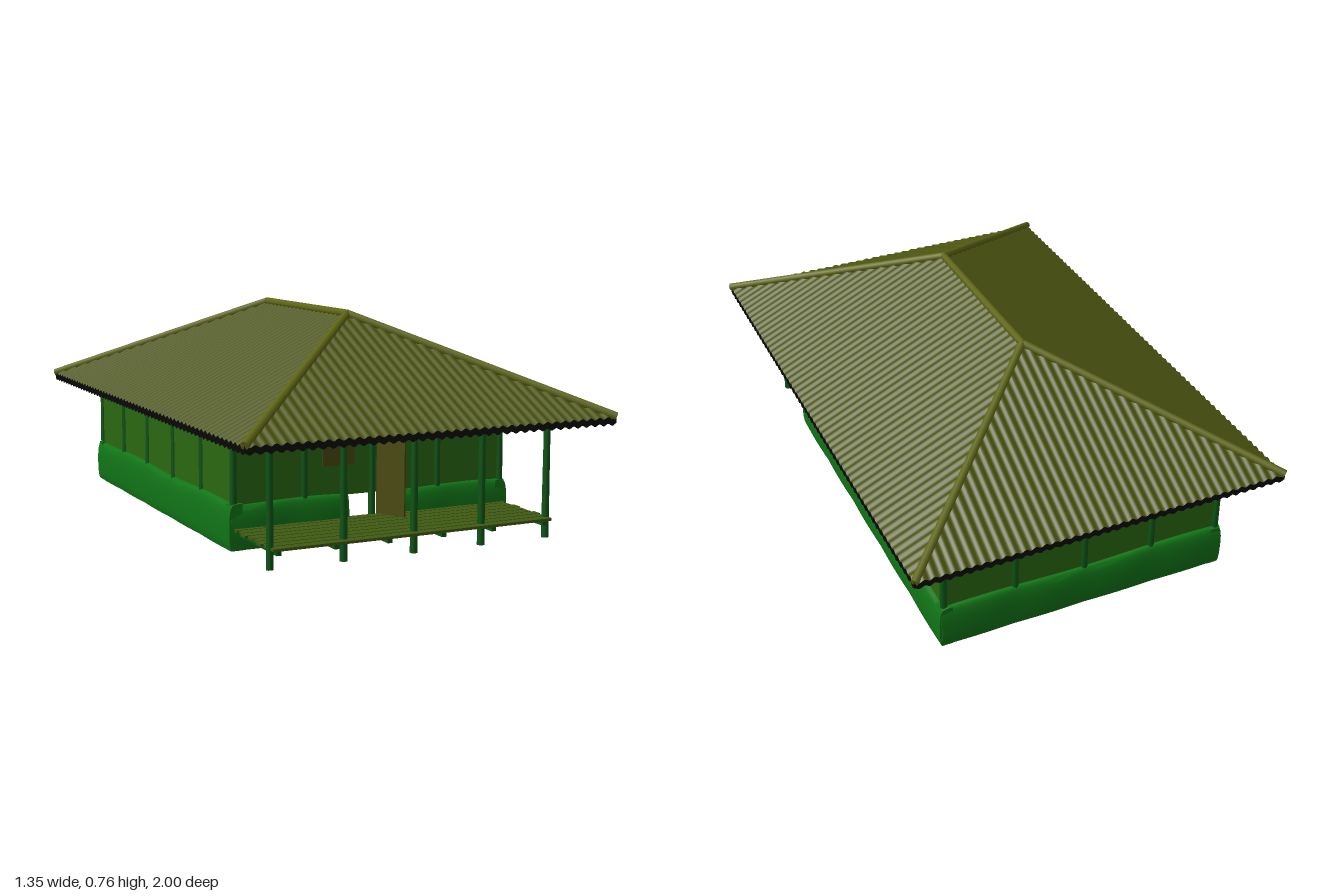
import * as THREE from 'three';
import { mergeVertices, toCreasedNormals } from 'three/addons/utils/BufferGeometryUtils.js';

const mat = (color, side = THREE.FrontSide) => new THREE.MeshStandardMaterial({ color, side });
const ROOF = mat(0x4c5510, THREE.DoubleSide), CAP = mat(0x5f6614), UNDER = mat(0x080808, THREE.DoubleSide);
const WALL = mat(0x2a6812), SKIRT = mat(0x117517), POST = mat(0x0c5514), DECK = mat(0x3f5a12), DOOR = mat(0x4a4a10);

const EX = 0.665, EZ = 0.99, RZ = 0.34, EAVE = 0.427, TOP = 0.742, THICK = 0.022; // roof
const WX = 0.51, ZF = 0.53, ZB = -0.84, SILL = 0.152, H = 0.44;                   // walls
const XS = [-0.51, -0.255, 0, 0.255, 0.51];

export function createModel() {
  const model = new THREE.Group();

  const add = (name, geo, material, x = 0, y = 0, z = 0) => {
    const m = new THREE.Mesh(geo, material);
    m.name = name;
    m.position.set(x, y, z);
    model.add(m);
    return m;
  };
  // box given by its two corners
  const box = (name, material, x0, x1, y0, y1, z0, z1) =>
    add(name, new THREE.BoxGeometry(x1 - x0, y1 - y0, z1 - z0), material,
      (x0 + x1) / 2, (y0 + y1) / 2, (z0 + z1) / 2);
  // round pole between two points
  const pole = (name, material, a, b, r0, r1 = r0) => {
    const p = new THREE.Vector3(...a), d = new THREE.Vector3(...b).sub(p);
    const m = add(name, new THREE.CylinderGeometry(r1, r0, d.length(), 8), material);
    m.position.copy(p).addScaledVector(d, 0.5);
    m.quaternion.setFromUnitVectors(new THREE.Vector3(0, 1, 0), d.normalize());
  };

  // corrugated strip: each column joins a low and a high point
  const strip = (name, material, half, columnAt, flip) => {
    const waves = Math.round((half * 2) / 0.034), n = waves * 6, pos = [], idx = [];
    for (let i = 0; i <= n; i++) {
      const ripple = 0.004 * Math.cos((i / n) * waves * Math.PI * 2);
      for (const [x, y, z] of columnAt(-half + (2 * half * i) / n)) pos.push(x, y + ripple, z);
      if (i < n) {
        const a = i * 2;
        idx.push(...(flip ? [a, a + 1, a + 2, a + 2, a + 1, a + 3] : [a, a + 2, a + 1, a + 2, a + 3, a + 1]));
      }
    }
    const g = new THREE.BufferGeometry();
    g.setAttribute('position', new THREE.Float32BufferAttribute(pos, 3));
    g.setIndex(idx);
    g.computeVertexNormals();
    add(name, g, material);
  };
  // roof slope with its underside and eave edge
  const drop = ([x, y, z]) => [x, y - THICK, z];
  const slope = (name, half, columnAt, flip) => {
    strip(name, ROOF, half, columnAt, flip);
    strip(name + 'Underside', UNDER, half, (s) => columnAt(s).map(drop), !flip);
    strip(name + 'Edge', UNDER, half, (s) => [drop(columnAt(s)[0]), columnAt(s)[0]], flip);
  };
  const rise = (t) => EAVE + (TOP - EAVE) * t;
  for (const s of [-1, 1]) {
    slope('roofSide', EZ, (z) => {
      const t = Math.min(1, (EZ - Math.abs(z)) / (EZ - RZ));
      return [[s * EX, EAVE, z], [s * EX * (1 - t), rise(t), z]];
    }, s > 0);
    slope('roofEnd', EX, (x) => {
      const t = 1 - Math.abs(x) / EX;
      return [[x, EAVE, s * EZ], [x, rise(t), s * (EZ - (EZ - RZ) * t)]];
    }, s < 0);
    for (const k of [-1, 1])
      pole('hipCap', CAP, [k * EX, EAVE + 0.004, s * EZ], [0, TOP + 0.004, s * RZ], 0.014);
  }
  pole('ridgeCap', CAP, [0, TOP + 0.004, -RZ - 0.005], [0, TOP + 0.004, RZ + 0.005], 0.014);

  // wall panels stand on the base skirt
  for (const s of [-1, 1]) box('sideWall', WALL, s * 0.505 - 0.008, s * 0.505 + 0.008, SILL, H, ZB, ZF);
  box('backWall', WALL, -WX, WX, SILL, H, ZB - 0.003, ZB + 0.013);
  box('frontWall', WALL, -WX, WX, SILL, H, ZF - 0.013, ZF + 0.003);
  box('windowPanel', DOOR, -0.188, -0.07, 0.255, 0.35, ZF - 0.01, ZF + 0.008);

  // open door, hinged beside the middle post
  const doorGeo = new THREE.BoxGeometry(0.115, 0.335, 0.008).translate(0.0575, 0.1825, 0);
  add('door', doorGeo, DOOR, 0.02, 0, ZF).rotation.y = -Math.PI * 0.35;

  // rounded base skirt, gently swelling in every bay; profile is (outward, up)
  const profile = new THREE.Shape();
  profile.moveTo(-0.025, 0.003);
  profile.lineTo(0.018, 0.003);
  profile.quadraticCurveTo(0.026, 0.02, 0.026, 0.07);
  profile.quadraticCurveTo(0.027, 0.135, 0.014, 0.152);
  profile.quadraticCurveTo(0.006, 0.159, -0.025, 0.158);
  const skirt = (length, bays, x, z, turn) => {
    let g = new THREE.ExtrudeGeometry(profile, { depth: length, steps: bays * 6, bevelEnabled: false, curveSegments: 5 });
    const p = g.attributes.position;
    for (let i = 0; i < p.count; i++) {
      const u = (p.getZ(i) / length) * bays;
      const swell = Math.abs(Math.sin(u * Math.PI));
      if (p.getX(i) > 0) p.setX(i, p.getX(i) * (0.85 + 0.15 * swell));
      p.setY(i, p.getY(i) * (1 + 0.025 * Math.sin(u * 2.3)));
    }
    g.deleteAttribute('normal');
    g.deleteAttribute('uv');
    g = toCreasedNormals(mergeVertices(g), 0.8);
    add('baseSkirt', g, SKIRT, x, 0, z).rotation.y = turn;
  };
  const sideLength = ZF - ZB + 0.036;
  skirt(sideLength, 5, WX, ZB - 0.018, 0);
  skirt(sideLength, 5, -WX, ZF + 0.018, Math.PI);
  skirt(1.05, 4, -0.525, ZB, Math.PI / 2);
  skirt(0.435, 2, 0.525, ZF - 0.003, -Math.PI / 2);
  skirt(0.43, 2, -0.095, ZF - 0.003, -Math.PI / 2);

  // wall posts and top plates
  for (let i = 0; i <= 5; i++) {
    const z = ZF + ((ZB - ZF) * i) / 5;
    for (const s of [-1, 1]) pole('sidePost', POST, [s * WX, 0.02, z], [s * WX, H, z], 0.014, 0.011);
  }
  for (const x of XS.slice(1, 4)) {
    pole('backPost', POST, [x, 0.02, ZB], [x, H, ZB], 0.014, 0.011);
    pole('frontWallPost', POST, [x, 0.02, ZF], [x, H, ZF], 0.013, 0.011);
  }
  const plate = H - 0.012;
  for (const s of [-1, 1]) pole('sidePlate', POST, [s * WX, plate, ZB], [s * WX, plate, 0.83], 0.011);
  for (const z of [ZB, ZF, 0.82]) pole('crossPlate', POST, [-WX, plate, z], [WX, plate, z], 0.011);

  // veranda: posts, joists and boards
  for (const x of XS) pole('verandaPost', POST, [x, 0.005, 0.82], [x, H, 0.82], 0.013, 0.011);
  for (const x of [-0.49, -0.29, -0.1, 0.1, 0.29, 0.49])
    box('deckJoist', POST, x - 0.008, x + 0.008, 0.052, 0.068, ZF, 0.845);
  const boards = 8, pitch = 0.325 / boards;
  for (let i = 0; i < boards; i++) {
    const z = 0.535 + i * pitch, end = 0.515 + 0.006 * Math.sin(i * 4.1);
    box('deckBoard', DECK, -end, end, 0.068, 0.077, z, z + pitch - 0.005);
  }
  return model;
}
